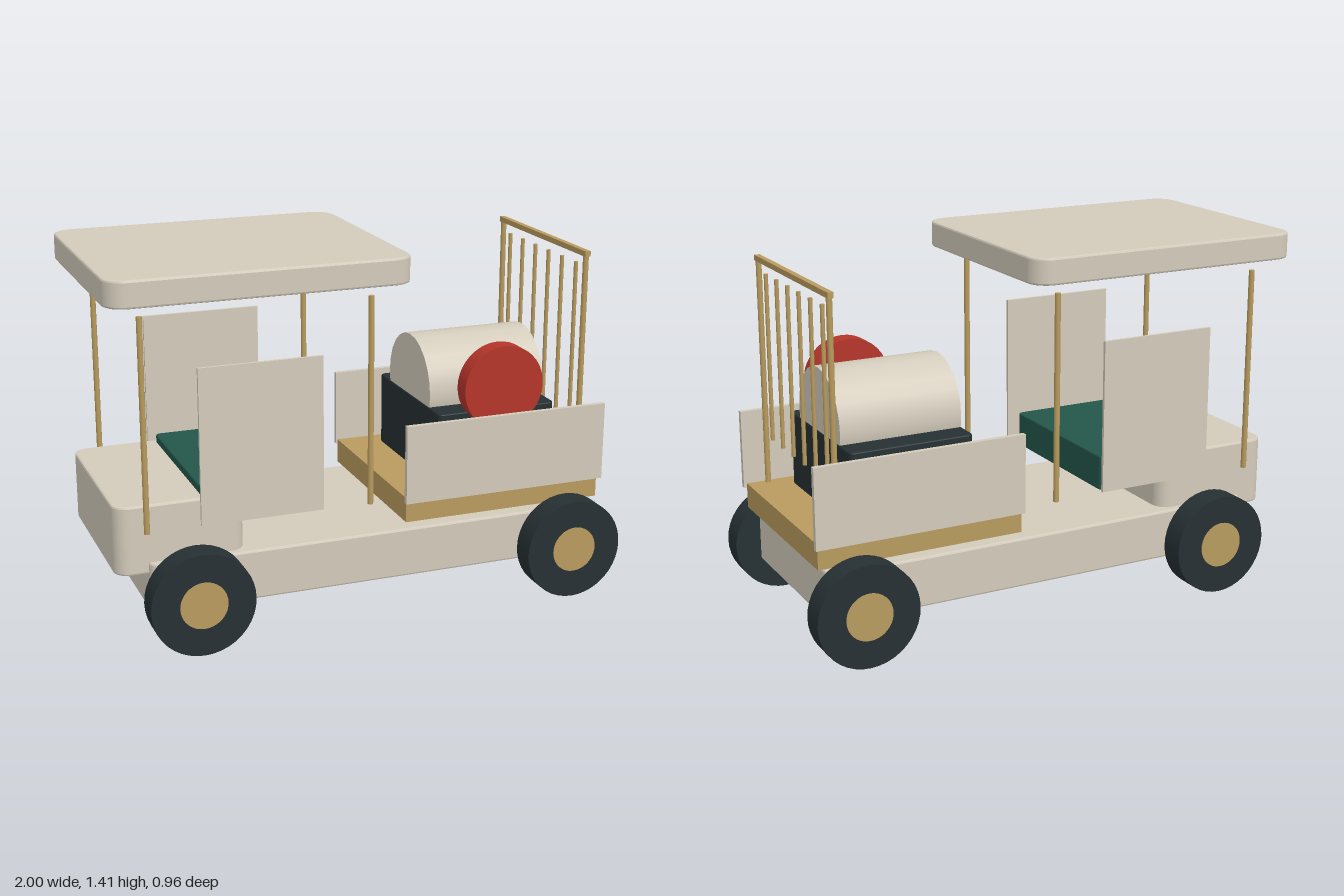
import * as THREE from 'three';

const mat = (name, color) => {
  const m = new THREE.MeshStandardMaterial({ color });
  m.name = name;
  return m;
};

export function createModel() {
  const cream = mat('cream', 0xd3cbbb);
  const brass = mat('brass', 0xb89b5e);
  const dark = mat('charcoal', 0x263033);
  const red = mat('red', 0xb5352a);
  const green = mat('green', 0x24564a);

  const model = new THREE.Group();
  model.name = 'utilityCart';

  const add = (name, geometry, material, x, y, z) => {
    const mesh = new THREE.Mesh(geometry, material);
    mesh.name = name;
    mesh.position.set(x, y, z);
    model.add(mesh);
    return mesh;
  };
  // Box given by its extents
  const box = (name, material, [x0, x1], [y0, y1], [z0, z1]) =>
    add(name, new THREE.BoxGeometry(x1 - x0, y1 - y0, z1 - z0), material,
      (x0 + x1) / 2, (y0 + y1) / 2, (z0 + z1) / 2);
  // Slab with rounded vertical corners and a softened rim
  const slab = (name, material, [x0, x1], [y0, y1], halfZ, r, bevel = 0.008) => {
    const w = (x1 - x0) / 2 - bevel, d = halfZ - bevel;
    const s = new THREE.Shape();
    s.moveTo(-w + r, -d);
    s.lineTo(w - r, -d).absarc(w - r, -d + r, r, -Math.PI / 2, 0);
    s.lineTo(w, d - r).absarc(w - r, d - r, r, 0, Math.PI / 2);
    s.lineTo(-w + r, d).absarc(-w + r, d - r, r, Math.PI / 2, Math.PI);
    s.lineTo(-w, -d + r).absarc(-w + r, -d + r, r, Math.PI, Math.PI * 1.5);
    const g = new THREE.ExtrudeGeometry(s, {
      depth: y1 - y0 - 2 * bevel, bevelEnabled: true, bevelSize: bevel,
      bevelThickness: bevel, bevelSegments: 2, curveSegments: 8,
    });
    g.rotateX(-Math.PI / 2);
    return add(name, g, material, (x0 + x1) / 2, y0 + bevel, 0);
  };
  const rod = (name, x, z, y0, y1, r) =>
    add(name, new THREE.CylinderGeometry(r, r, y1 - y0, 12), brass, x, (y0 + y1) / 2, z);
  // Disc with its axis along z
  const disc = (name, material, r, x, y, z0, z1) =>
    add(name, new THREE.CylinderGeometry(r, r, Math.abs(z1 - z0), 40).rotateX(Math.PI / 2),
      material, x, y, (z0 + z1) / 2);

  // Body
  slab('chassis', cream, [-0.86, 0.91], [0.147, 0.34], 0.378, 0.03);
  slab('hood', cream, [-0.98, -0.49], [0.295, 0.56], 0.348, 0.05);
  slab('roof', cream, [-1, 0.127], [1.31, 1.41], 0.46, 0.07);
  slab('seat', green, [-0.65, -0.225], [0.455, 0.59], 0.335, 0.015, 0.005);
  add('roofLamp', new THREE.CylinderGeometry(0.04, 0.04, 0.02, 24), brass, -0.44, 1.3, 0);

  // Cargo bed and its load
  box('cargoBed', brass, [0.137, 0.948], [0.363, 0.46], [-0.368, 0.368]);
  slab('drumCradle', dark, [0.298, 0.786], [0.46, 0.75], 0.298, 0.015, 0.005);
  add('drum', new THREE.CylinderGeometry(0.202, 0.202, 0.482, 24).rotateZ(Math.PI / 2),
    cream, 0.542, 0.792, 0);
  disc('hoseReel', red, 0.163, 0.545, 0.847, 0.275, 0.345);

  // Mirrored parts on both sides
  for (const side of [-1, 1]) {
    const span = (a, b) => (side > 0 ? [a, b] : [-b, -a]);
    box('doorPanel', cream, [-0.67, -0.202], [0.47, 1.06], span(0.378, 0.39));
    box('bedSidePanel', cream, [0.13, 0.96], [0.443, 0.75], span(0.368, 0.388));
    for (const x of [-0.867, -0.01]) rod('roofPost', x, side * 0.37, 0.46, 1.26, 0.011);
    for (const x of [-0.693, 0.802]) {
      disc('wheel', dark, 0.197, x, 0.199, side * 0.38, side * 0.479);
      disc('wheelHub', brass, 0.09, x, 0.199, side * 0.373, side * 0.482);
    }
    rod('railPost', 0.867, side * 0.35, 0.46, 1.345, 0.011);
  }

  // Rear rail
  box('railTopBar', brass, [0.856, 0.878], [1.332, 1.353], [-0.366, 0.366]);
  for (let i = 0; i < 6; i++) rod('railBar', 0.867, -0.284 + i * 0.112, 0.65, 1.296, 0.008);

  return model;
}
